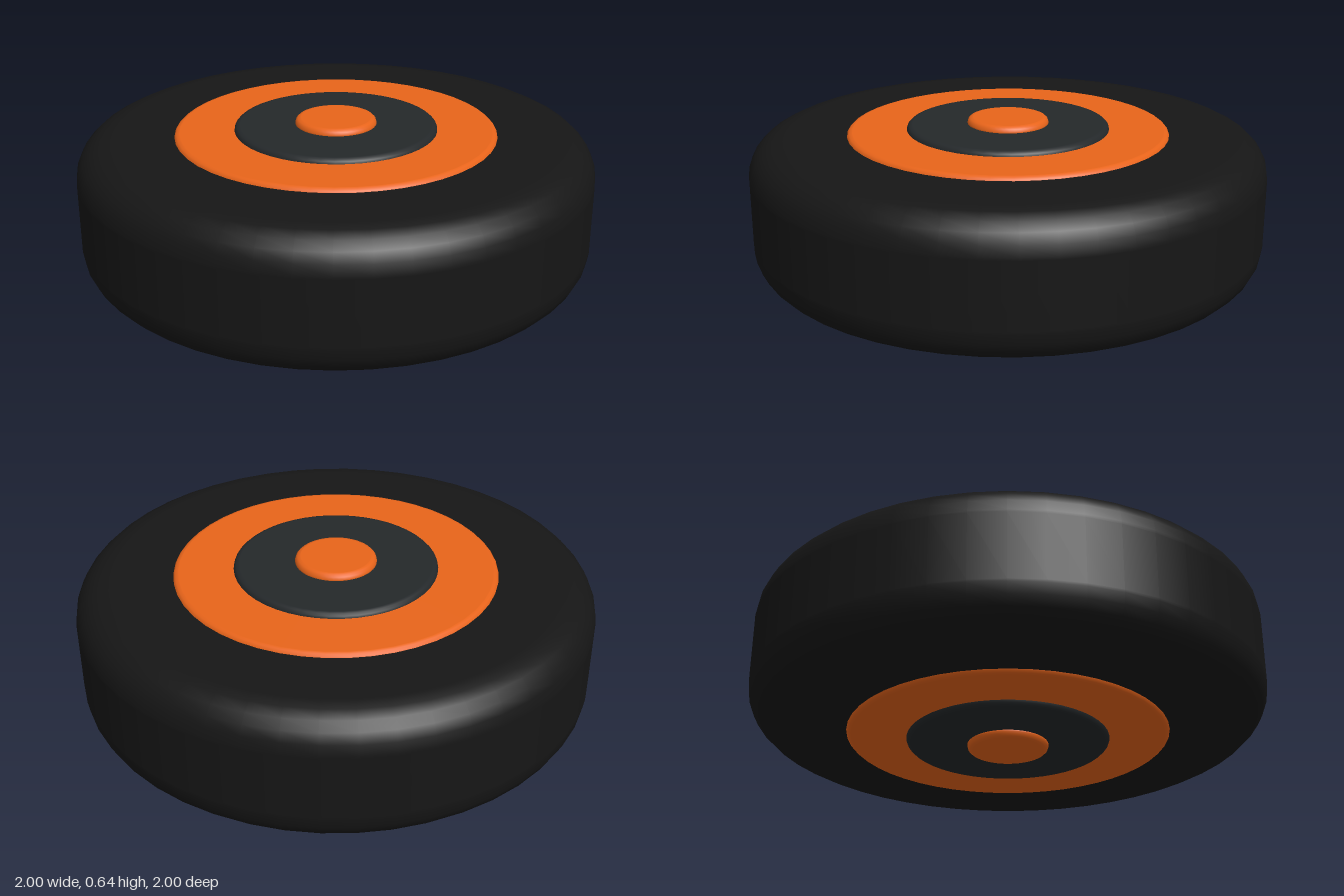
import * as THREE from 'three';

const MID = 0.322; // height of the wheel's middle plane

// Solid disc with rounded rims, turned about y and centred on the origin
function roundedDisc(name, radius, halfHeight, edge, steps, color) {
  const points = [new THREE.Vector2(0, -halfHeight)];
  const pad = edge * 0.08; // short flats keep the faces evenly shaded
  for (const side of [-1, 1]) {
    const arc = [new THREE.Vector2(radius - edge - pad, side * halfHeight)];
    for (let i = 0; i <= steps; i++) {
      const a = (i / steps) * Math.PI / 2;
      arc.push(new THREE.Vector2(
        radius - edge + edge * Math.sin(a),
        side * (halfHeight - edge + edge * Math.cos(a))));
    }
    arc.push(new THREE.Vector2(radius, side * (halfHeight - edge - pad)));
    points.push(...(side < 0 ? arc : arc.reverse()));
  }
  points.push(new THREE.Vector2(0, halfHeight));
  const mesh = new THREE.Mesh(
    new THREE.LatheGeometry(points, 48),
    new THREE.MeshStandardMaterial({ color }));
  mesh.name = name;
  mesh.position.y = MID;
  return mesh;
}

export function createModel() {
  const wheel = new THREE.Group();
  wheel.name = 'wheel';
  wheel.add(
    // Wide tyre lying flat
    roundedDisc('tyre', 1, 0.265, 0.13, 5, 0x161616),
    // Stepped discs that stand proud on both faces
    roundedDisc('rim', 0.625, 0.279, 0.02, 3, 0xe8641a),
    roundedDisc('hub', 0.393, 0.298, 0.02, 3, 0x24282a),
    roundedDisc('axleCap', 0.157, 0.322, 0.02, 3, 0xe8641a));
  return wheel;
}
